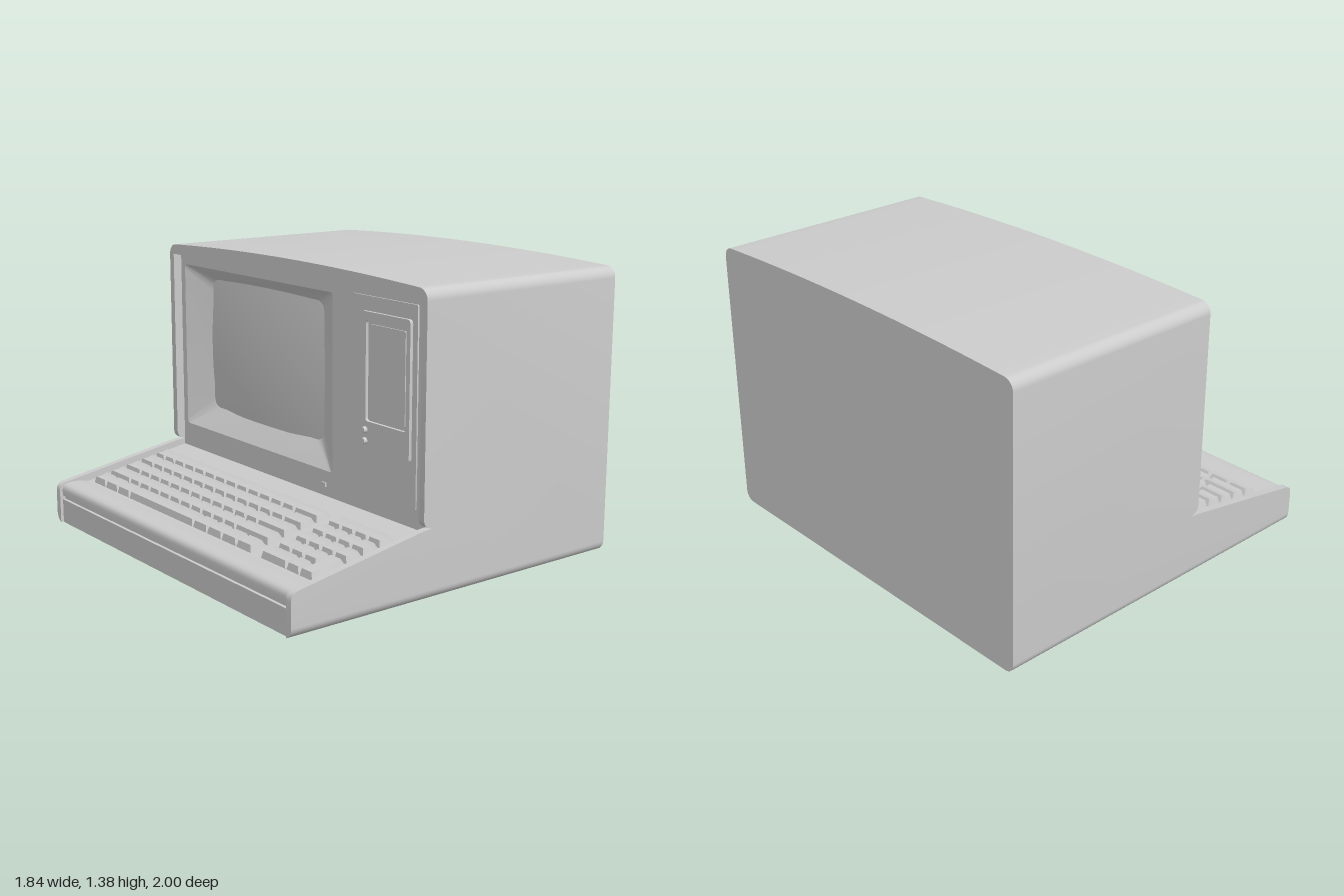
import * as THREE from 'three';
import { toCreasedNormals } from 'three/addons/utils/BufferGeometryUtils.js';

const grey = new THREE.MeshStandardMaterial({ color: 0xcccccc });
const greyDouble = new THREE.MeshStandardMaterial({ color: 0xcccccc, side: THREE.DoubleSide });

function add(parent, name, geometry, material = grey) {
  const mesh = new THREE.Mesh(geometry, material);
  mesh.name = name;
  parent.add(mesh);
  return mesh;
}

// Casing cross-section across z: arched top, rounded corners
const R = 0.05;
function cornerDrop(z) {
  const t = Math.max(0, (Math.abs(z) - (1 - R)) / R);
  return R * (1 - Math.sqrt(Math.max(0, 1 - t * t)));
}
const topAt = (z) => 1.357 + 0.028 * (1 - z * z) - cornerDrop(z);

// Sweep a side profile (x, y) over z and trim it to the casing cross-section
function slab(shape, zs) {
  const steps = zs.length - 1;
  const g = new THREE.ExtrudeGeometry(shape, { depth: 1, steps, bevelEnabled: false, curveSegments: 6 });
  const p = g.attributes.position;
  for (let i = 0; i < p.count; i++) {
    const z = zs[Math.round(p.getZ(i) * steps)];
    p.setY(i, Math.min(topAt(z), Math.max(cornerDrop(z), p.getY(i))));
    p.setZ(i, z);
  }
  return toCreasedNormals(g, 0.6);
}

// Rounded rectangle in the (z, y) plane of the front face
function rect(z0, z1, y0, y1, r, Type = THREE.Shape) {
  const s = new Type();
  s.moveTo(z0 + r, y0);
  s.lineTo(z1 - r, y0);
  s.quadraticCurveTo(z1, y0, z1, y0 + r);
  s.lineTo(z1, y1 - r);
  s.quadraticCurveTo(z1, y1, z1 - r, y1);
  s.lineTo(z0 + r, y1);
  s.quadraticCurveTo(z0, y1, z0, y1 - r);
  s.lineTo(z0, y0 + r);
  s.quadraticCurveTo(z0, y0, z0 + r, y0);
  return s;
}

// Plate whose back is at xBack and whose face looks along -x
function plate(shape, xBack, depth) {
  const g = new THREE.ExtrudeGeometry(shape, { depth, bevelEnabled: false, curveSegments: 5 });
  return toCreasedNormals(g.rotateY(-Math.PI / 2).translate(xBack, 0, 0), 0.6);
}

// Sloping surround joining two loops of equal point count
function surround(outer, xOuter, inner, xInner) {
  const a = outer.getPoints(5), b = inner.getPoints(5), pos = [];
  for (let i = 0; i < a.length - 1; i++) {
    const q = [[xOuter, a[i]], [xOuter, a[i + 1]], [xInner, b[i + 1]], [xInner, b[i]]];
    for (const k of [0, 1, 2, 0, 2, 3]) pos.push(q[k][0], q[k][1].y, q[k][1].x);
  }
  const g = new THREE.BufferGeometry();
  g.setAttribute('position', new THREE.Float32BufferAttribute(pos, 3));
  return toCreasedNormals(g, 0.5);
}

// Tapered keycap with a dished top
function keyGeometry(w, d, h) {
  const g = new THREE.BoxGeometry(w, h, d, 4, 1, 4).translate(0, h / 2, 0);
  const p = g.attributes.position;
  for (let i = 0; i < p.count; i++) {
    if (p.getY(i) < h / 2) continue;
    const x = p.getX(i), z = p.getZ(i), u = (2 * x) / w;
    p.setXYZ(i, x * (1 - 0.024 / w), h - 0.006 * (1 - u * u), z * (1 - 0.02 / d));
  }
  return toCreasedNormals(g, 0.5);
}

function buildKeyboard() {
  const keyboard = new THREE.Group();
  keyboard.name = 'keyboard';
  const pitch = 0.09, tilt = 0.178;
  const key = (row, z0, z1, rows = 1) => {
    const w = (rows * pitch - 0.006) / Math.cos(tilt);
    const m = add(keyboard, 'key', keyGeometry(w, z1 - z0 - 0.007, 0.034));
    m.position.set((row + rows / 2) * pitch / Math.cos(tilt), 0, (z0 + z1) / 2);
  };
  const run = (row, z0, z1, n) => {
    const s = (z1 - z0) / n;
    for (let i = 0; i < n; i++) key(row, z0 + i * s, z0 + (i + 1) * s);
  };
  // Bottom row with the space bar
  run(0, -0.92, -0.57, 3);
  key(0, -0.57, 0.005);
  run(0, 0.005, 0.475, 4);
  // Letter and number rows
  key(1, -0.92, -0.72); run(1, -0.72, 0.215, 10); key(1, 0.215, 0.475);
  key(2, -0.92, -0.77); run(2, -0.77, 0.26, 11); key(2, 0.26, 0.475);
  key(3, -0.92, -0.795); run(3, -0.795, 0.335, 12); key(3, 0.335, 0.475);
  key(4, -0.92, -0.83); run(4, -0.83, 0.295, 12); key(4, 0.295, 0.475);
  // Number pad
  key(0, 0.545, 0.73);
  key(0, 0.73, 0.822);
  key(0, 0.822, 0.915, 2);
  run(1, 0.545, 0.822, 3);
  for (let r = 2; r < 5; r++) run(r, 0.545, 0.915, 4);
  keyboard.position.set(-0.752, 0.189, 0);
  keyboard.rotation.z = tilt;
  return keyboard;
}

export function createModel() {
  const model = new THREE.Group();
  model.name = 'computerTerminal';

  // Side walls with the sloping keyboard rails
  const side = new THREE.Shape();
  side.moveTo(-0.92, 0);
  side.lineTo(0.92, 0);
  side.lineTo(0.92, 1.4);
  side.lineTo(-0.22, 1.4);
  side.lineTo(-0.22, 0.37);
  side.quadraticCurveTo(-0.22, 0.335, -0.175, 0.325);
  side.lineTo(-0.22, 0.322);
  side.lineTo(-0.88, 0.207);
  side.quadraticCurveTo(-0.92, 0.2, -0.92, 0.165);
  const rim = [0.965, 0.972, 0.979, 0.985, 0.991, 0.996, 0.999, 1];
  add(model, 'leftWall', slab(side, rim));
  add(model, 'rightWall', slab(side, rim.map((z) => -z).reverse()));

  // Main casing: base, front lip with groove, key bed, back and roof
  const core = new THREE.Shape();
  core.moveTo(-0.905, 0);
  core.lineTo(0.92, 0);
  core.lineTo(0.92, 1.4);
  core.lineTo(-0.22, 1.4);
  core.lineTo(-0.22, 1.31);
  core.lineTo(-0.06, 1.31);
  core.lineTo(-0.06, 0.316);
  core.lineTo(-0.76, 0.19);
  core.quadraticCurveTo(-0.82, 0.208, -0.875, 0.2);
  core.quadraticCurveTo(-0.905, 0.195, -0.905, 0.165);
  core.lineTo(-0.905, 0.14);
  core.lineTo(-0.89, 0.14);
  core.lineTo(-0.89, 0.12);
  core.lineTo(-0.905, 0.12);
  const zs = [-0.965, -0.957, -0.95];
  for (let i = -9; i <= 9; i++) zs.push(i / 10);
  zs.push(0.95, 0.957, 0.965);
  add(model, 'casing', slab(core, zs));

  // Recessed front face with the screen opening
  const face = rect(-0.966, 0.966, 0.285, 1.312, 0.001);
  face.holes.push(rect(-0.93, 0.31, 0.417, 1.257, 0.02, THREE.Path));
  add(model, 'frontFace', plate(face, -0.06, 0.115));
  add(model, 'screenSurround', surround(
    rect(-0.93, 0.31, 0.417, 1.257, 0.02), -0.175,
    rect(-0.79, 0.145, 0.52, 1.19, 0.06), -0.095), greyDouble);

  // Bulging screen glass
  const glass = new THREE.PlaneGeometry(0.96, 0.69, 20, 16);
  const p = glass.attributes.position;
  for (let i = 0; i < p.count; i++) {
    const u = p.getX(i) / 0.48, v = p.getY(i) / 0.345;
    p.setZ(i, 0.035 * (1 - u * u * 0.6 - v * v * 0.4));
  }
  glass.computeVertexNormals();
  add(model, 'screenGlass', glass.rotateY(-Math.PI / 2).translate(-0.085, 0.855, -0.322));

  // Disk drive: panel, raised frame, sunken door and two knobs
  const drive = new THREE.Group();
  drive.name = 'diskDrive';
  model.add(drive);
  add(drive, 'drivePanel', plate(rect(0.46, 0.9, 0.38, 1.276, 0.01), -0.17, 0.013));
  const frame = rect(0.535, 0.87, 0.585, 1.21, 0.02);
  frame.holes.push(rect(0.575, 0.845, 0.72, 1.17, 0.015, THREE.Path));
  add(drive, 'driveFrame', plate(frame, -0.18, 0.018));
  add(drive, 'driveDoor', plate(rect(0.59, 0.83, 0.735, 1.155, 0.01), -0.18, 0.009));
  for (const y of [0.63, 0.68]) {
    const knob = new THREE.CylinderGeometry(0.014, 0.016, 0.02, 16).rotateZ(Math.PI / 2);
    add(drive, 'driveKnob', knob).position.set(-0.205, y, 0.575);
  }

  // Small switch under the screen
  add(model, 'switch', new THREE.BoxGeometry(0.012, 0.02, 0.03)).position.set(-0.177, 0.35, 0.25);

  model.add(buildKeyboard());
  return model;
}
